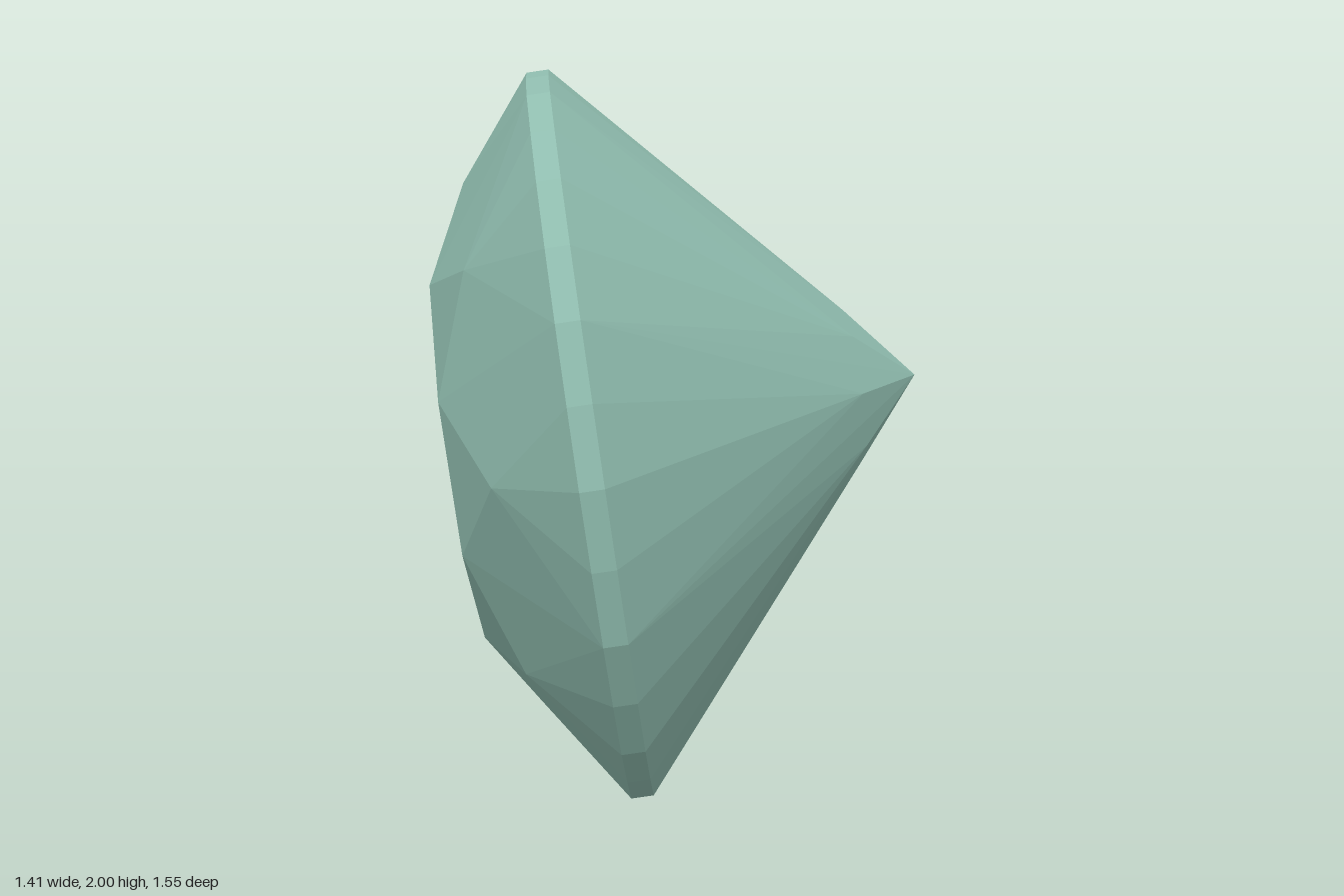
import * as THREE from 'three';

// Frame of the tilted stone: AXIS points from the table to the culet
const AXIS = new THREE.Vector3(0.734, 0.145, -0.664).normalize();
const U = new THREE.Vector3(0, 1, 0).addScaledVector(AXIS, -AXIS.y).normalize();
const V = new THREE.Vector3().crossVectors(AXIS, U);
const PHASE = 18.7; // degrees, angle of the first kite facet

// Point at an angle (degrees), radius and height along the axis, around the origin
function point(deg, radius, height, shift = 0) {
  const a = THREE.MathUtils.degToRad(deg + PHASE);
  return new THREE.Vector3()
    .addScaledVector(U, radius * Math.cos(a) + shift)
    .addScaledVector(V, radius * Math.sin(a))
    .addScaledVector(AXIS, height);
}

// Flat facets; each polygon is fanned and turned to face away from the centre
function facetMesh(name, polygons, material) {
  const positions = [];
  for (const poly of polygons) {
    for (let i = 1; i < poly.length - 1; i++) {
      const tri = [poly[0], poly[i], poly[i + 1]];
      const normal = new THREE.Vector3().crossVectors(
        tri[1].clone().sub(tri[0]), tri[2].clone().sub(tri[0]));
      const middle = tri[0].clone().add(tri[1]).add(tri[2]);
      if (normal.dot(middle) < 0) tri.reverse();
      tri.forEach((p) => positions.push(p.x, p.y, p.z));
    }
  }
  const geometry = new THREE.BufferGeometry();
  geometry.setAttribute('position', new THREE.Float32BufferAttribute(positions, 3));
  geometry.computeVertexNormals();
  const mesh = new THREE.Mesh(geometry, material);
  mesh.name = name;
  return mesh;
}

export function createModel() {
  const material = new THREE.MeshStandardMaterial({ color: 0x8fbcae, flatShading: true });
  const R = 1.01, H = 0.03, STEP = 45, COUNT = 8;

  // Girdle rim, slightly scalloped between the main corners
  const rim = (deg, h) => point(deg, (deg / 11.25) % 2 === 0 ? R : R * 0.994, h);
  const tableCorner = (k) => point(k * STEP, 0.525, -0.365);
  const crownMid = (k) => point((k + 0.5) * STEP, 0.74, -0.247);
  const pavilionMid = (k) => point((k + 0.5) * STEP, 0.212, 0.74, 0.03);
  const culet = point(0, 0, 0.914, 0.035);

  const table = [[]], stars = [], kites = [], upperHalves = [];
  const mains = [], lowerHalves = [], girdle = [];

  for (let k = 0; k < COUNT; k++) {
    const a = k * STEP;
    table[0].push(tableCorner(k));

    // Crown: star triangles, kites and the halves that meet the girdle
    stars.push([tableCorner(k), tableCorner(k + 1), crownMid(k)]);
    kites.push([tableCorner(k), crownMid(k - 1), rim(a, -H), crownMid(k)]);

    // Pavilion: long kites running to the culet
    mains.push([culet, pavilionMid(k - 1), rim(a, H), pavilionMid(k)]);

    for (const s of [a, a + 22.5]) {
      upperHalves.push([crownMid(k), rim(s, -H), rim(s + 11.25, -H), rim(s + 22.5, -H)]);
      lowerHalves.push([pavilionMid(k), rim(s, H), rim(s + 11.25, H), rim(s + 22.5, H)]);
    }

    // Narrow girdle band
    for (let i = 0; i < 4; i++) {
      const s = a + i * 11.25, e = s + 11.25;
      girdle.push([rim(s, -H), rim(e, -H), rim(e, H), rim(s, H)]);
    }
  }

  const crown = new THREE.Group();
  crown.name = 'crown';
  crown.add(
    facetMesh('table', table, material),
    facetMesh('starFacets', stars, material),
    facetMesh('kiteFacets', kites, material),
    facetMesh('upperHalfFacets', upperHalves, material));

  const pavilion = new THREE.Group();
  pavilion.name = 'pavilion';
  pavilion.add(
    facetMesh('mainFacets', mains, material),
    facetMesh('lowerHalfFacets', lowerHalves, material));

  const model = new THREE.Group();
  model.name = 'cutGem';
  model.add(crown, facetMesh('girdle', girdle, material), pavilion);
  model.position.y = 1;

  const root = new THREE.Group();
  root.name = 'gemstone';
  root.add(model);
  return root;
}
